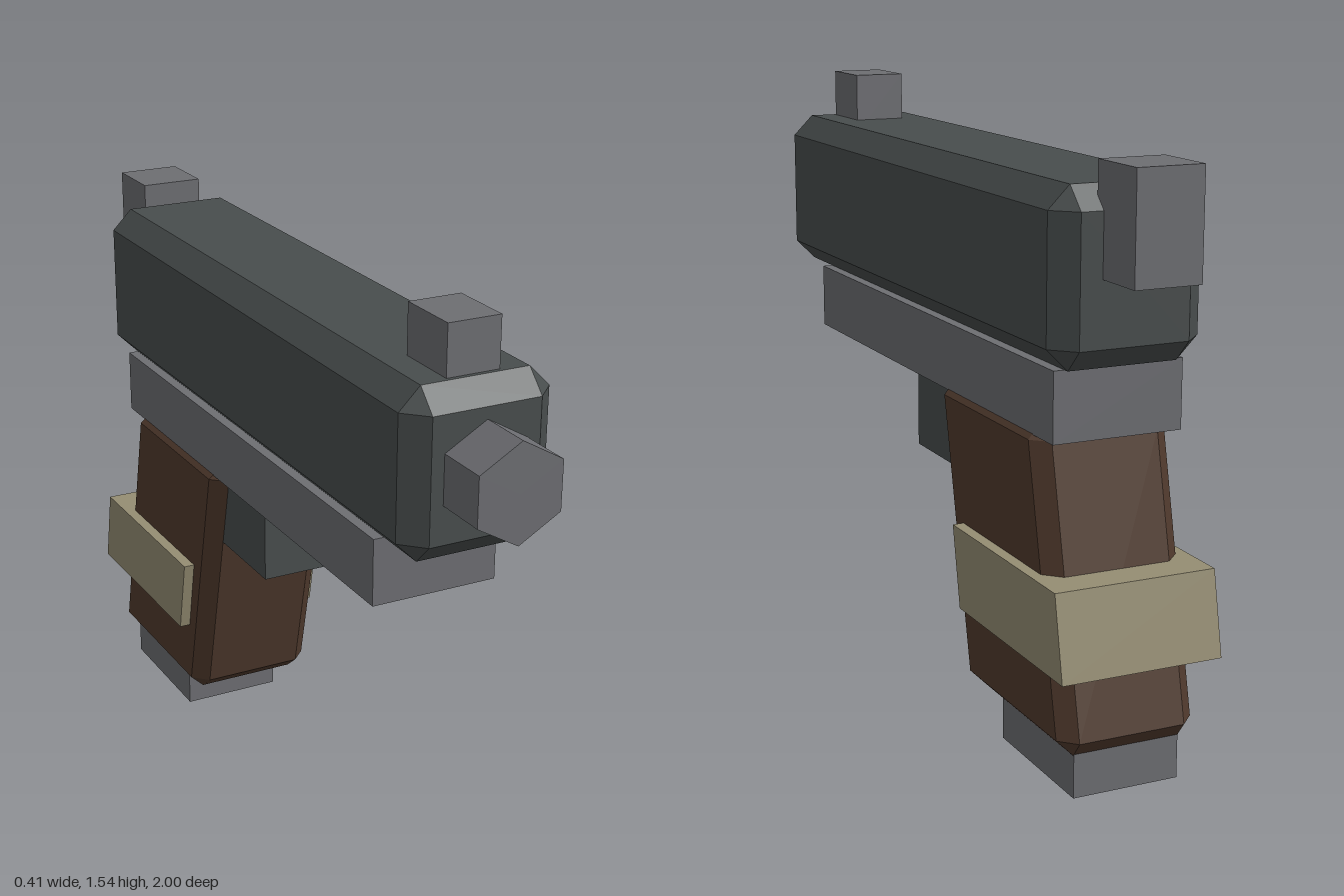
import * as THREE from 'three';
import { ConvexGeometry } from 'three/addons/geometries/ConvexGeometry.js';

const mat = (name, color) => Object.assign(new THREE.MeshStandardMaterial({ color }), { name });

// Box chamfered on every edge; corners become small triangles
function chamferBox(w, h, d, b) {
  const half = [w / 2, h / 2, d / 2];
  const pts = [];
  for (const sx of [-1, 1]) for (const sy of [-1, 1]) for (const sz of [-1, 1])
    for (let axis = 0; axis < 3; axis++) {
      const c = half.map((v, i) => (i === axis ? v : v - b));
      pts.push(new THREE.Vector3(sx * c[0], sy * c[1], sz * c[2]));
    }
  return new ConvexGeometry(pts);
}

// Slant a geometry so z shifts with height
function slant(geo, k) {
  geo.applyMatrix4(new THREE.Matrix4().set(1, 0, 0, 0, 0, 1, 0, 0, 0, k, 1, 0, 0, 0, 0, 1));
  geo.computeVertexNormals();
  return geo;
}

export function createModel() {
  const group = new THREE.Group();
  const gunmetal = mat('gunmetal', 0x484d4d);
  const steel = mat('steel grey', 0x6d6e72);
  const wood = mat('brown grip', 0x503a2d);
  const tan = mat('tan band', 0x958d73);
  const SLANT = 0.228;

  const add = (name, geo, material, y, z) => {
    const mesh = new THREE.Mesh(geo, material);
    mesh.name = name;
    mesh.position.set(0, y, z);
    group.add(mesh);
    return mesh;
  };
  // Centred box given by its width and its y and z ranges
  const block = (name, material, w, y0, y1, z0, z1) =>
    add(name, new THREE.BoxGeometry(w, y1 - y0, z1 - z0), material, (y0 + y1) / 2, (z0 + z1) / 2);

  // Upper body
  add('slide', chamferBox(0.384, 0.415, 1.72, 0.054), gunmetal, 1.2075, 0);
  block('frame', steel, 0.33, 0.83, 1.0, -0.79, 0.66);
  block('frontSight', steel, 0.136, 1.38, 1.54, 0.625, 0.795);
  block('rearSight', steel, 0.166, 1.21, 1.47, -1.0, -0.83);

  // Six-sided muzzle, one corner up
  const muzzle = new THREE.CylinderGeometry(0.122, 0.122, 0.2, 6).toNonIndexed();
  muzzle.computeVertexNormals();
  muzzle.rotateX(Math.PI / 2);
  add('muzzle', muzzle, steel, 1.21, 0.9);

  // Trigger block, running back into the grip
  block('triggerBlock', gunmetal, 0.274, 0.625, 0.84, -0.32, 0.037);

  // Slanted grip, band and base plate
  add('grip', slant(chamferBox(0.354, 0.755, 0.55, 0.04), SLANT), wood, 0.4825, -0.533);
  add('gripBand', slant(new THREE.BoxGeometry(0.412, 0.205, 0.552).toNonIndexed(), 0.2), tan, 0.4165, -0.632);
  block('basePlate', steel, 0.274, 0, 0.12, -0.857, -0.482);

  return group;
}
